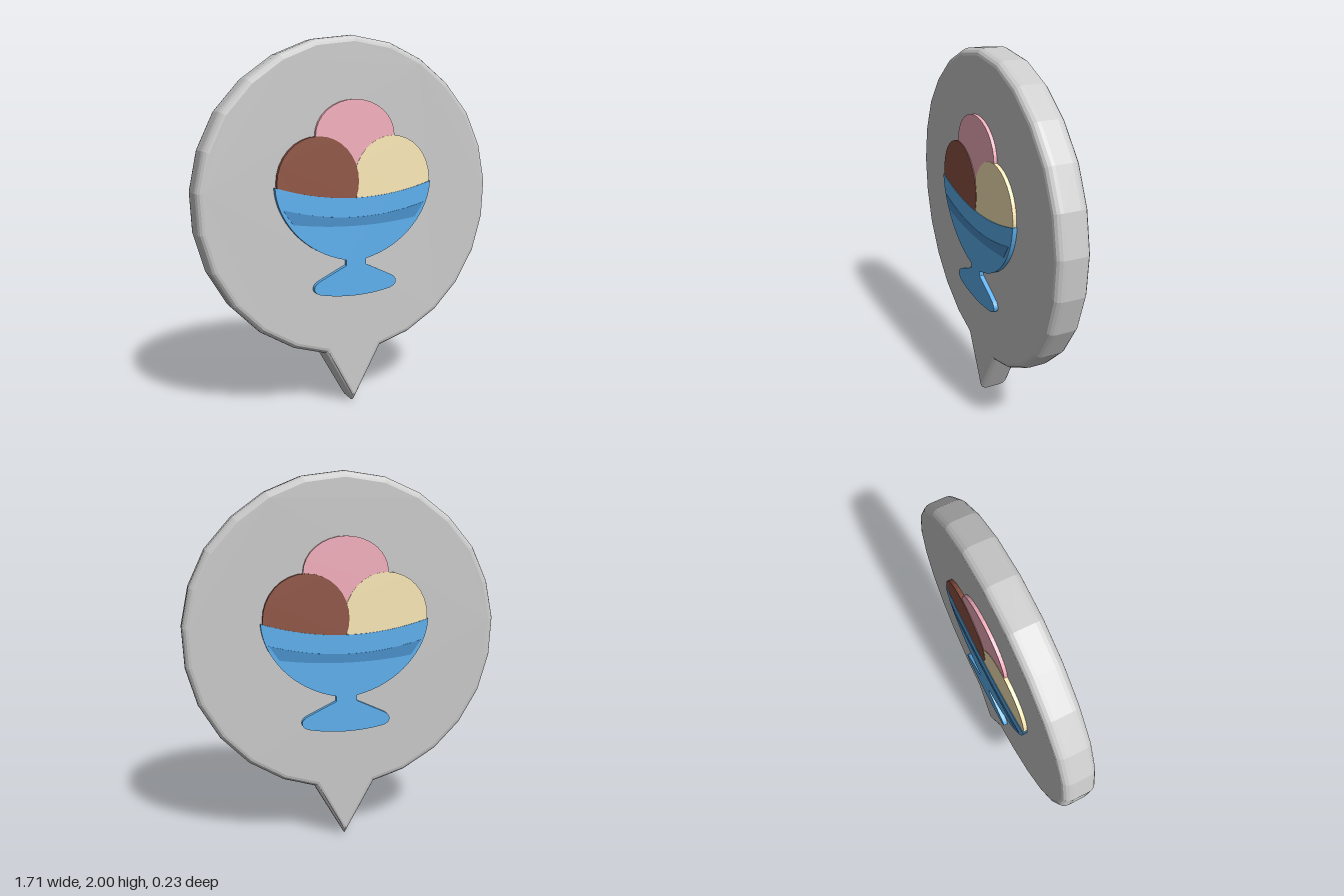
import * as THREE from 'three';

const COLORS = {
  body: 0xcccccc, pink: 0xf5b0be, cream: 0xfdeab8, brown: 0x905544, blue: 0x5eb1f0, darkBlue: 0x4890cb,
};

function makeMesh(name, geometry, color) {
  const mesh = new THREE.Mesh(geometry, new THREE.MeshStandardMaterial({ color }));
  mesh.name = name;
  return mesh;
}

// Thin raised inlay starting just inside the plate and ending at z = top
function inlay(name, shape, top, color) {
  const base = 0.08;
  const geometry = new THREE.ExtrudeGeometry(shape, { depth: top - base, bevelEnabled: false, curveSegments: 16 });
  geometry.translate(0, 0, base);
  return makeMesh(name, geometry, color);
}

function ellipse(x, y, rx, ry) {
  const shape = new THREE.Shape();
  shape.absellipse(x, y, rx, ry, 0, Math.PI * 2, false, 0);
  return shape;
}

// Faceted round plate with a pointed tail and rounded rim
function createPlate() {
  const half = [
    [0.17, 0.3], [0.345, 0.354], [0.53, 0.465], [0.676, 0.613], [0.785, 0.798], [0.843, 1.0],
    [0.853, 1.21], [0.81, 1.416], [0.72, 1.605], [0.58, 1.765], [0.41, 1.89], [0.22, 1.97],
  ];
  const mirrored = half.map(([x, y]) => [-x, y]).reverse();
  const outline = [[0, 0], ...half, [0, 2], ...mirrored].map(([x, y]) => new THREE.Vector2(x, y));
  const geometry = new THREE.ExtrudeGeometry(new THREE.Shape(outline), {
    depth: 0.086, bevelThickness: 0.045, bevelSize: 0.035, bevelOffset: -0.035, bevelSegments: 4,
  });
  geometry.translate(0, 0, -0.043);
  return makeMesh('plate', geometry, COLORS.body);
}

// Footed sundae glass
function glassShape() {
  const s = new THREE.Shape();
  s.moveTo(-0.455, 1.225);
  s.quadraticCurveTo(0, 1.08, 0.455, 1.225);
  s.bezierCurveTo(0.45, 1.06, 0.3, 0.87, 0.057, 0.82);
  s.lineTo(0.057, 0.79);
  s.lineTo(0.215, 0.715);
  s.bezierCurveTo(0.26, 0.69, 0.25, 0.65, 0.2, 0.64);
  s.quadraticCurveTo(0, 0.6, -0.2, 0.64);
  s.bezierCurveTo(-0.25, 0.65, -0.26, 0.69, -0.215, 0.715);
  s.lineTo(-0.057, 0.79);
  s.lineTo(-0.057, 0.82);
  s.bezierCurveTo(-0.3, 0.87, -0.45, 1.06, -0.455, 1.225);
  return s;
}

// Curved dark stripe across the bowl
function bandShape() {
  const s = new THREE.Shape();
  s.moveTo(-0.415, 1.11);
  s.quadraticCurveTo(0, 0.99, 0.415, 1.11);
  s.lineTo(0.36, 1.03);
  s.quadraticCurveTo(0, 0.975, -0.36, 1.03);
  s.closePath();
  return s;
}

function createSundae(name) {
  const group = new THREE.Group();
  group.name = name;
  group.add(
    inlay('topScoop', ellipse(0, 1.48, 0.23, 0.19), 0.106, COLORS.pink),
    inlay('leftScoop', ellipse(0.22, 1.24, 0.23, 0.24), 0.108, COLORS.cream),
    inlay('rightScoop', ellipse(-0.214, 1.24, 0.23, 0.24), 0.11, COLORS.brown),
    inlay('glass', glassShape(), 0.112, COLORS.blue),
    inlay('glassBand', bandShape(), 0.114, COLORS.darkBlue),
  );
  return group;
}

export function createModel() {
  const model = new THREE.Group();
  model.name = 'iceCreamMarker';
  const front = createSundae('frontSundae');
  const back = createSundae('backSundae');
  back.rotation.y = Math.PI;
  model.add(createPlate(), front, back);
  return model;
}
